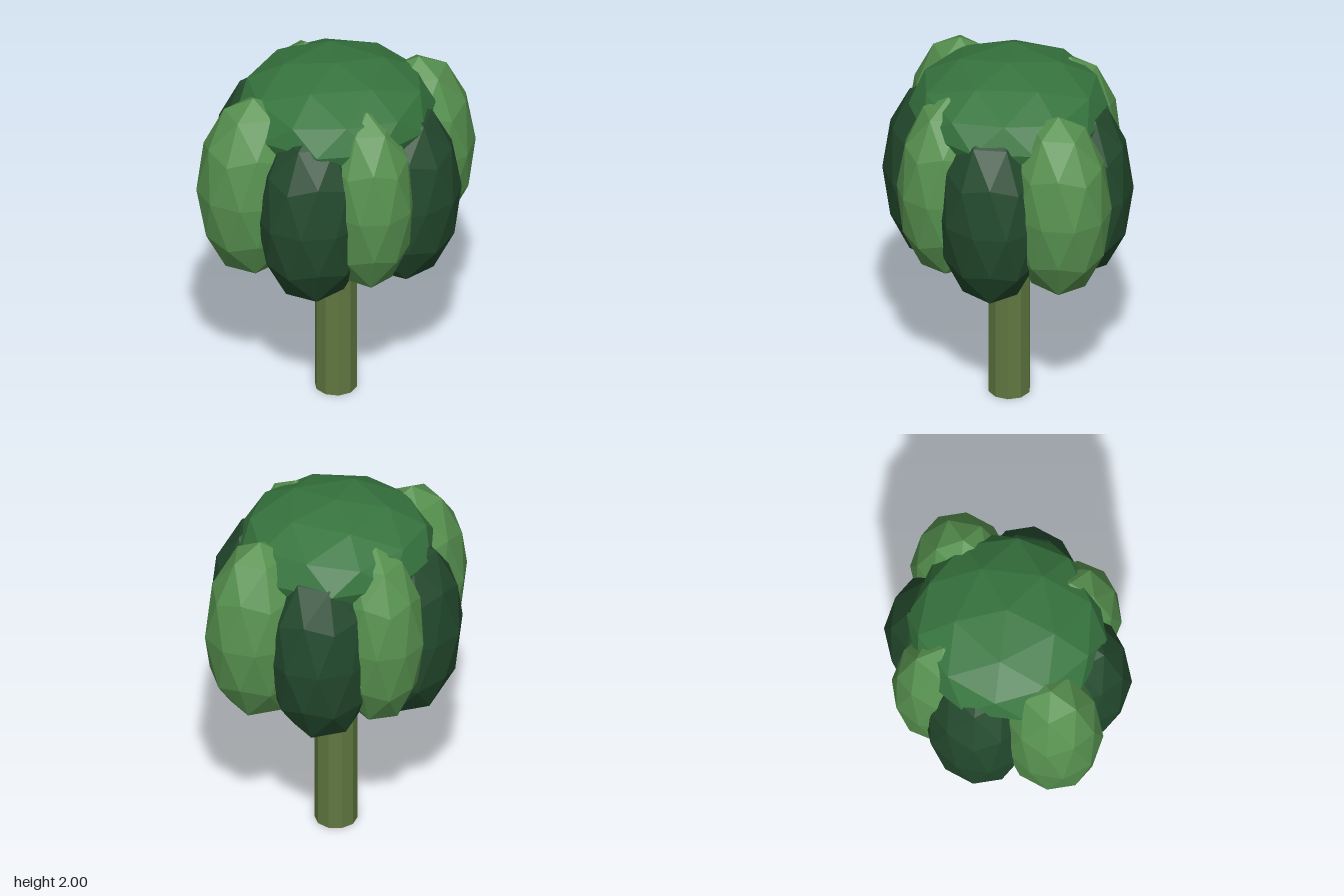
import * as THREE from 'three';

const mat = (color) => new THREE.MeshStandardMaterial({ color, flatShading: true });

export function createModel() {
  const model = new THREE.Group();
  model.name = 'tree';

  const lightLeaf = mat(0x57914f);
  const midLeaf = mat(0x37753f);
  const darkLeaf = mat(0x23492d);
  const bark = mat(0x5f7740);

  // Faceted ball with one corner pointing straight up and down
  const ball = new THREE.IcosahedronGeometry(1, 1);
  ball.rotateZ(-Math.atan(2 / (1 + Math.sqrt(5))));

  function addFoliage(name, material, position, radii) {
    const mesh = new THREE.Mesh(ball, material);
    mesh.name = name;
    mesh.position.set(...position);
    mesh.scale.set(...radii);
    model.add(mesh);
  }

  // Ten-sided trunk, running up into the foliage
  const trunkGeometry = new THREE.CylinderGeometry(0.113, 0.113, 1.5, 10);
  trunkGeometry.rotateY(Math.PI / 10);
  trunkGeometry.translate(0, 0.75, 0);
  const trunk = new THREE.Mesh(trunkGeometry, bark);
  trunk.name = 'trunk';
  model.add(trunk);

  // Flattened crown on top
  addFoliage('crown', midLeaf, [0, 1.73, 0], [0.53, 0.27, 0.53]);

  // Light lobes on the four sides
  for (const s of [1, -1]) {
    addFoliage(s > 0 ? 'leftLobe' : 'rightLobe', lightLeaf, [0.48 * s, 1.37, 0], [0.305, 0.54, 0.27]);
    addFoliage(s > 0 ? 'frontLobe' : 'backLobe', lightLeaf, [0, 1.37, 0.38 * s], [0.25, 0.54, 0.28]);
  }

  // Dark lobes on the corners, set slightly lower
  const corners = {
    frontLeftLobe: [0.26, 0.285],
    frontRightLobe: [-0.26, 0.285],
    backLeftLobe: [0.26, -0.27],
    backRightLobe: [-0.24, -0.31],
  };
  for (const [name, [x, z]] of Object.entries(corners)) {
    addFoliage(name, darkLeaf, [x, 1.3, z], [0.31, 0.54, 0.275]);
  }

  return model;
}
